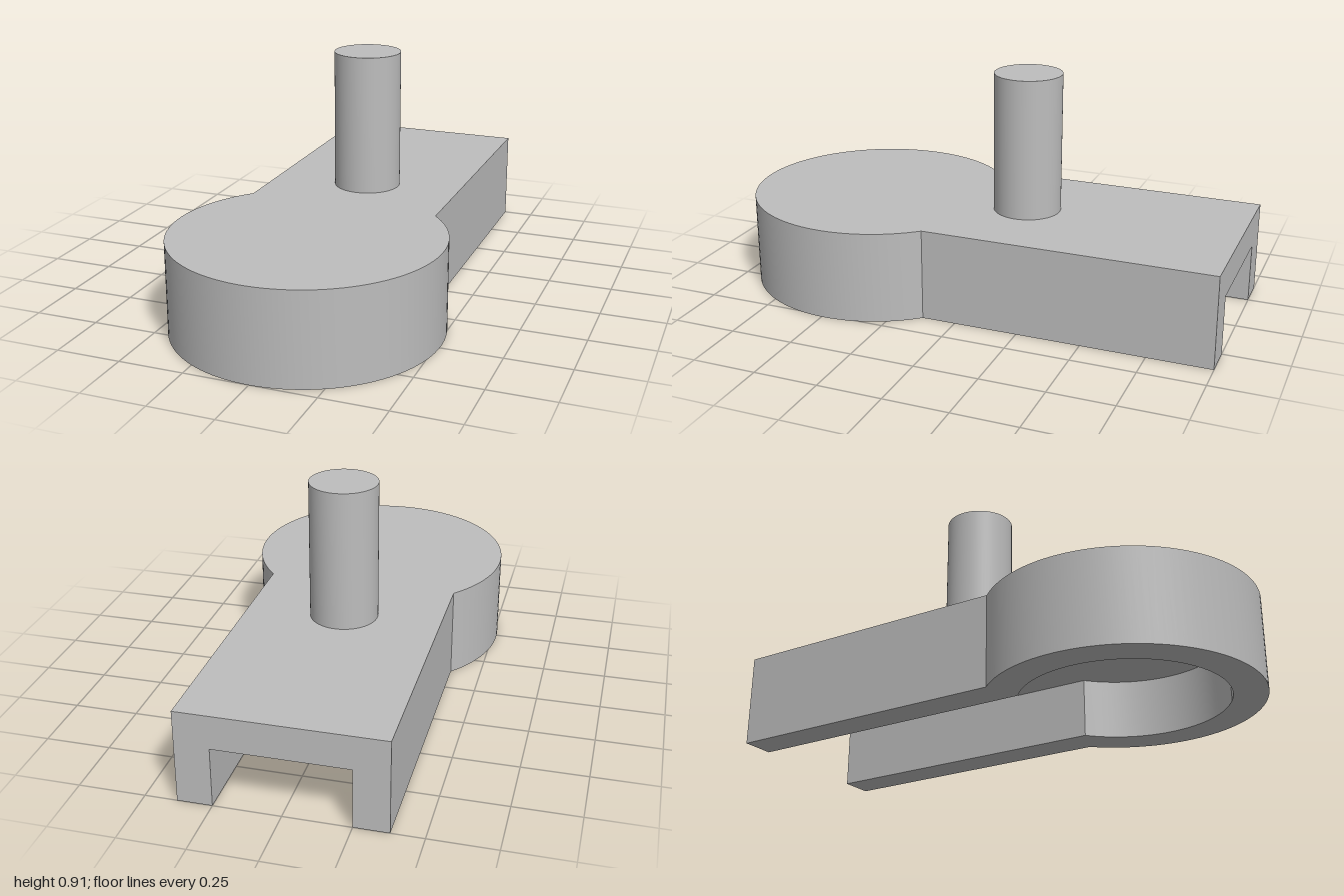
import * as THREE from 'three';
import { mergeGeometries, toCreasedNormals } from 'three/addons/utils/BufferGeometryUtils.js';

const HEIGHT = 0.36, CEILING = 0.23, BACK = -1, CENTRE = 0.483;

// Keyhole plan outline (x, z): straight arm at the back, round head at the front
function keyhole(halfWidth, radius) {
  const start = -Math.acos(halfWidth / radius), steps = 80;
  const pts = [new THREE.Vector2(halfWidth, BACK)];
  for (let i = 0; i <= steps; i++) {
    const a = start + (Math.PI - 2 * start) * i / steps;
    pts.push(new THREE.Vector2(radius * Math.cos(a), CENTRE + radius * Math.sin(a)));
  }
  pts.push(new THREE.Vector2(-halfWidth, BACK));
  return pts;
}

// Upright wall following an open outline
function wall(pts, height) {
  const pos = [];
  for (let i = 0; i < pts.length - 1; i++) {
    const a = pts[i], b = pts[i + 1];
    pos.push(a.x, 0, a.y, a.x, height, a.y, b.x, height, b.y);
    pos.push(a.x, 0, a.y, b.x, height, b.y, b.x, 0, b.y);
  }
  return new THREE.BufferGeometry().setAttribute('position', new THREE.Float32BufferAttribute(pos, 3));
}

// Flat face from an outline, positions only
function face(pts) {
  const geo = new THREE.ShapeGeometry(new THREE.Shape(pts)).toNonIndexed();
  geo.deleteAttribute('uv');
  geo.deleteAttribute('normal');
  return geo;
}

export function createModel() {
  const grey = new THREE.MeshStandardMaterial({ color: 0xbdbdbd });
  grey.name = 'grey';
  const group = new THREE.Group();
  const add = (name, geo) => {
    const mesh = new THREE.Mesh(toCreasedNormals(geo, 0.5), grey);
    mesh.name = name;
    group.add(mesh);
    return mesh;
  };

  // Hollow keyhole housing, open underneath and at the back
  const outer = keyhole(0.38, 0.517);
  const inner = keyhole(0.25, 0.39);
  const innerReversed = inner.slice().reverse();
  const backFrame = [
    [-0.38, 0], [-0.25, 0], [-0.25, CEILING], [0.25, CEILING],
    [0.25, 0], [0.38, 0], [0.38, HEIGHT], [-0.38, HEIGHT],
  ].map(([x, y]) => new THREE.Vector2(x, y));
  add('housing', mergeGeometries([
    wall(outer, HEIGHT),
    wall(innerReversed, CEILING),
    face(outer).rotateX(Math.PI / 2).rotateZ(Math.PI).translate(0, HEIGHT, 0),
    face(inner).rotateX(Math.PI / 2).translate(0, CEILING, 0),
    face([...outer, ...innerReversed]).rotateX(Math.PI / 2),
    face(backFrame).rotateY(Math.PI).translate(0, 0, BACK),
  ]));

  // Upright pin with a flat top
  const profile = [[0.132, HEIGHT], [0.132, 0.91], [0, 0.91]].map(([r, y]) => new THREE.Vector2(r, y));
  add('pin', new THREE.LatheGeometry(profile, 64)).position.z = -0.153;

  return group;
}
